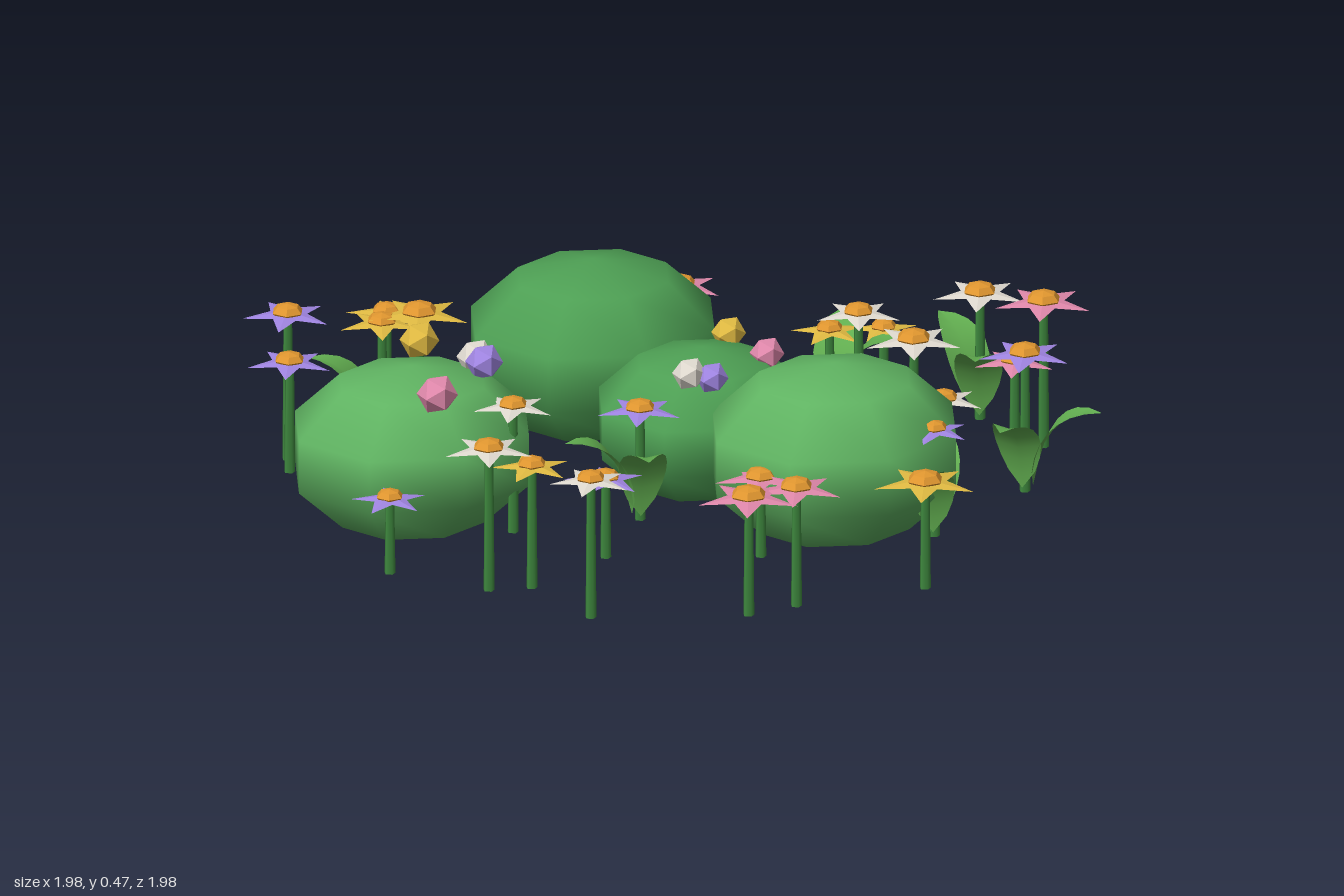
import * as THREE from 'three';

const mat = (color, extra = {}) => new THREE.MeshStandardMaterial({ color, ...extra });
const thin = { side: THREE.DoubleSide, flatShading: true };
const bushMats = [mat(0x60b462), mat(0x4ea054)];
const stemMat = mat(0x3f8a3f);
const leafMat = mat(0x62ae50, { side: THREE.DoubleSide });
const centreMat = mat(0xe0962f, { flatShading: true });
const tones = { purple: 0xa085e2, pink: 0xe088ab, yellow: 0xe0ba42, white: 0xe0dad0 };
const petalMats = {}, budMats = {};
for (const name in tones) {
  petalMats[name] = mat(tones[name], thin);
  budMats[name] = mat(tones[name], { flatShading: true });
}

function add(parent, name, geometry, material, x = 0, y = 0, z = 0) {
  const mesh = new THREE.Mesh(geometry, material);
  mesh.name = name;
  mesh.position.set(x, y, z);
  parent.add(mesh);
  return mesh;
}

// Five-pointed blossom, slightly raised in the middle
function starGeometry(radius, turn) {
  const pos = [];
  const point = (i) => {
    const a = turn + (i * Math.PI) / 5;
    const r = i % 2 ? radius * 0.43 : radius;
    return [Math.cos(a) * r, i % 2 ? 0 : -0.006, Math.sin(a) * r];
  };
  for (let i = 0; i < 10; i++) pos.push(0, 0.01, 0, ...point(i + 1), ...point(i));
  const g = new THREE.BufferGeometry();
  g.setAttribute('position', new THREE.Float32BufferAttribute(pos, 3));
  g.computeVertexNormals();
  return g;
}

// Pointed leaf that rises from the ground and bends outwards along +x
function leafGeometry() {
  const g = new THREE.PlaneGeometry(1, 1, 8, 2);
  const p = g.attributes.position;
  for (let i = 0; i < p.count; i++) {
    const t = p.getX(i) + 0.5, side = p.getY(i) * 2;
    const w = 0.058 * Math.pow(Math.sin(Math.PI * Math.pow(t, 0.85)), 0.8) * side || 0;
    p.setXYZ(i, 0.02 + 0.15 * t * t + 0.02 * t,
      0.06 + 0.2 * Math.sin(t * 1.6) + Math.abs(w) * 0.2, -w);
  }
  g.computeVertexNormals();
  return g;
}

// x, z, centre height, radii x/y/z, tone
const bushes = [
  [-0.69, -0.105, 0.22, 0.318, 0.212, 0.294, 0],
  [0, -0.515, 0.23, 0.331, 0.222, 0.307, 1],
  [0.035, 0, 0.205, 0.282, 0.188, 0.26, 1],
  [0.2, 0.375, 0.226, 0.331, 0.225, 0.307, 0],
];

// colour, x, z, head height, petal radius, turn in degrees
const flowers = [
  ['yellow', -0.36, -0.9, 0.26, 0.1, 0],
  ['purple', -0.08, -0.78, 0.27, 0.09, -80],
  ['pink', 0.03, -0.73, 0.21, 0.11, -85],
  ['pink', 0.34, -0.725, 0.27, 0.105, -15],
  ['purple', -0.78, -0.59, 0.43, 0.11, -88],
  ['purple', -0.815, -0.51, 0.34, 0.105, 50],
  ['yellow', -0.545, -0.555, 0.38, 0.105, -100],
  ['yellow', -0.46, -0.525, 0.4, 0.125, -95],
  ['yellow', 0.51, -0.27, 0.28, 0.095, 0],
  ['yellow', 0.69, -0.34, 0.23, 0.09, 0],
  ['white', 0.48, -0.055, 0.4, 0.105, -100],
  ['white', 0.575, 0.05, 0.35, 0.12, -100],
  ['white', 0.825, -0.095, 0.38, 0.115, -95],
  ['pink', 0.81, 0.12, 0.28, 0.1, -95],
  ['pink', 0.875, 0.145, 0.43, 0.12, -95],
  ['white', 0.53, 0.3, 0.29, 0.1, -20],
  ['purple', 0.7, 0.395, 0.41, 0.115, -92],
  ['purple', 0.37, 0.57, 0.33, 0.09, -10],
  ['pink', -0.065, 0.51, 0.26, 0.11, 125],
  ['yellow', 0.19, 0.88, 0.33, 0.125, -95],
  ['pink', -0.27, 0.855, 0.36, 0.125, -98],
  ['pink', -0.14, 0.85, 0.36, 0.115, -95],
  ['white', -0.615, 0.7, 0.41, 0.1, -15],
  ['white', -0.75, 0.425, 0.42, 0.11, -100],
  ['yellow', -0.65, 0.455, 0.37, 0.1, -5],
  ['white', -0.52, 0.095, 0.38, 0.1, -20],
  ['purple', -0.91, 0.215, 0.25, 0.095, 0],
  ['purple', -0.4, 0.35, 0.26, 0.1, 0],
  ['purple', -0.21, 0.155, 0.34, 0.105, -95],
];

// base x, base z, then the directions of the leaves in degrees
const leaves = [
  [-0.54, -0.555, -140, 150],
  [-0.21, 0.155, 188, 110],
  [0.51, -0.27, -45, 45],
  [0.825, -0.095, -95, 120],
  [0.7, 0.395, 40, 135],
  [0.37, 0.57, 125, -60],
];

// colour, x, y, z, radius
const buds = [
  ['yellow', -0.595, 0.43, -0.255, 0.048],
  ['white', -0.515, 0.42, -0.115, 0.046],
  ['purple', -0.517, 0.425, -0.065, 0.046],
  ['pink', -0.71, 0.42, 0.07, 0.05],
  ['yellow', 0.155, 0.375, -0.1, 0.042],
  ['pink', 0.18, 0.37, 0.055, 0.042],
  ['white', -0.06, 0.38, 0.12, 0.042],
  ['purple', -0.012, 0.37, 0.145, 0.04],
];

export function createModel() {
  const model = new THREE.Group();
  model.name = 'flowerBed';

  const ball = new THREE.SphereGeometry(1, 8, 5);
  for (const [x, z, y, rx, ry, rz, tone] of bushes) {
    add(model, 'bush', ball, bushMats[tone], x, y, z).scale.set(rx, ry, rz);
  }

  for (const [tone, x, y, z, r] of buds) {
    add(model, 'bud', new THREE.IcosahedronGeometry(r, 0), budMats[tone], x, y, z);
  }

  const base = 0.045;
  for (const [tone, x, z, y, r, turn] of flowers) {
    const flower = new THREE.Group();
    flower.name = 'flower';
    flower.position.set(x, 0, z);
    const top = y - 0.012, h = top - base;
    add(flower, 'stem', new THREE.CylinderGeometry(0.011, 0.014, h, 5), stemMat, 0, base + h / 2, 0);
    add(flower, 'petals', starGeometry(r, THREE.MathUtils.degToRad(turn)), petalMats[tone], 0, top - 0.004, 0);
    add(flower, 'flowerCentre', new THREE.SphereGeometry(r * 0.36, 6, 4), centreMat, 0, top + 0.004, 0).scale.y = 0.5;
    model.add(flower);
  }

  const leafShape = leafGeometry();
  for (const [x, z, ...angles] of leaves) {
    for (const a of angles) {
      add(model, 'leaf', leafShape, leafMat, x, 0, z).rotation.y = -THREE.MathUtils.degToRad(a);
    }
  }
  return model;
}
